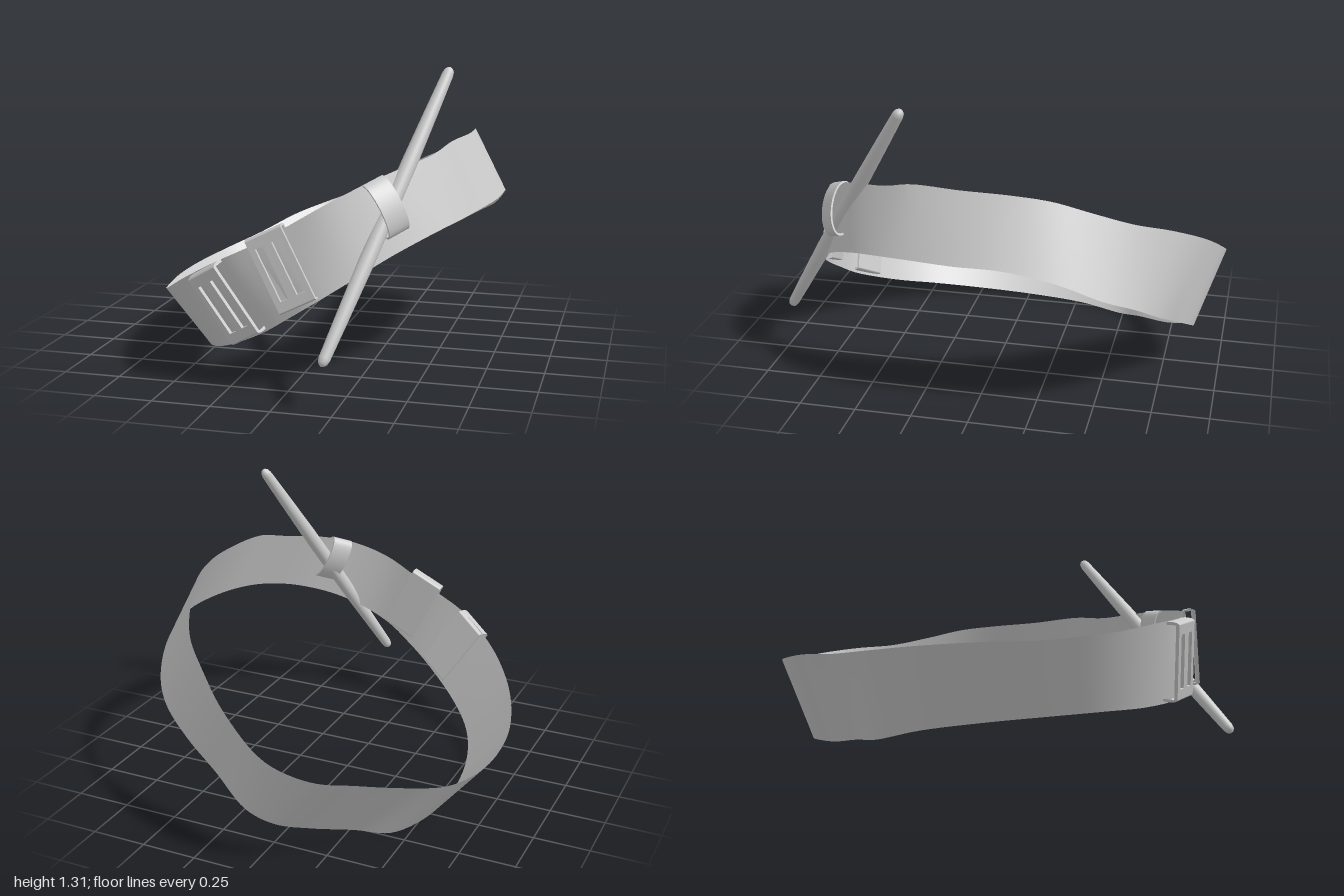
import * as THREE from 'three';

const mat = new THREE.MeshStandardMaterial({ color: 0xcccccc, side: THREE.DoubleSide });
const V = (x, y, z) => new THREE.Vector3(x, y, z);

function add(parent, geometry, name, x = 0, y = 0, z = 0) {
  const mesh = new THREE.Mesh(geometry, mat);
  mesh.name = name;
  mesh.position.set(x, y, z);
  parent.add(mesh);
  return mesh;
}

// Group whose local y follows `up` and local z faces `out`
function frame(name, pos, up, out) {
  const g = new THREE.Group();
  g.name = name;
  const y = up.clone().normalize();
  const x = y.clone().cross(out).normalize();
  const z = x.clone().cross(y);
  g.quaternion.setFromRotationMatrix(new THREE.Matrix4().makeBasis(x, y, z));
  g.position.copy(pos);
  return g;
}

// Upper and lower edges of the strap, from the front round the model's left side
const topEdge = [
  [0, .70, .81], [.15, .79, .79], [.30, .87, .70], [.42, .92, .57], [.53, .96, .40],
  [.58, .995, .27], [.62, 1.0, .05], [.62, .995, -.15], [.59, .97, -.32], [.53, .91, -.48],
  [.44, .84, -.64], [.30, .77, -.78], [.12, .67, -.92], [-.10, .54, -1.0], [-.28, .47, -.96],
  [-.42, .42, -.83], [-.56, .35, -.65], [-.68, .30, -.48], [-.75, .275, -.25], [-.76, .27, 0],
  [-.72, .28, .25], [-.62, .34, .50], [-.47, .44, .68], [-.28, .55, .79], [-.14, .62, .81],
];
const bottomEdge = [
  [.14, .41, .82], [.28, .50, .78], [.41, .58, .69], [.55, .65, .55], [.65, .69, .40],
  [.71, .71, .25], [.755, .72, .05], [.76, .72, -.15], [.73, .67, -.37], [.66, .58, -.55],
  [.56, .51, -.67], [.42, .42, -.745], [.24, .32, -.81], [.06, .22, -.88], [-.06, .17, -.86],
  [-.17, .11, -.74], [-.31, .06, -.60], [-.43, .01, -.48], [-.52, .005, -.28], [-.545, .015, 0],
  [-.51, .04, .26], [-.43, .08, .46], [-.30, .14, .62], [-.10, .25, .76], [.02, .33, .80],
];

// Thin strap lofted between the two edge curves
function strapGeometry() {
  const [top, bottom] = [topEdge, bottomEdge].map(
    (edge) => new THREE.CatmullRomCurve3(edge.map((p) => V(...p)), true));
  const around = 150, rows = 6, pos = [], index = [];
  for (let i = 0; i < around; i++) {
    const a = top.getPoint(i / around), b = bottom.getPoint(i / around);
    for (let j = 0; j <= rows; j++) pos.push(...a.clone().lerp(b, j / rows).toArray());
  }
  for (let i = 0; i < around; i++) {
    for (let j = 0; j < rows; j++) {
      const a = i * (rows + 1) + j, b = ((i + 1) % around) * (rows + 1) + j;
      index.push(a, a + 1, b, b, a + 1, b + 1);
    }
  }
  const g = new THREE.BufferGeometry();
  g.setAttribute('position', new THREE.Float32BufferAttribute(pos, 3));
  g.setIndex(index);
  g.computeVertexNormals();
  return g;
}

function rect(path, cx, w, h) {
  path.moveTo(cx - w / 2, -h / 2);
  path.lineTo(cx + w / 2, -h / 2);
  path.lineTo(cx + w / 2, h / 2);
  path.lineTo(cx - w / 2, h / 2);
  path.closePath();
  return path;
}

// Slotted sleeve wrapped round the strap
function buckle(name, pos, up, out, w, h, d) {
  const g = frame(name, pos, up, out);
  const face = rect(new THREE.Shape(), 0, w, h);
  for (const s of [-1, 1]) face.holes.push(rect(new THREE.Path(), s * w * .23, w * .22, h * .74));
  const t = .015;
  add(g, new THREE.ExtrudeGeometry(face, { depth: t, bevelEnabled: false }), name + 'Face', 0, 0, d / 2 - t);
  add(g, new THREE.BoxGeometry(w, h, .01), name + 'Back', 0, 0, -d / 2 + .005);
  for (const s of [-1, 1]) {
    // rounded lip at each end
    const lip = new THREE.CylinderGeometry(d / 2, d / 2, w, 20, 1, false, 0, Math.PI);
    lip.rotateZ(Math.PI / 2).scale(1, .35, 1);
    if (s < 0) lip.rotateX(Math.PI);
    add(g, lip, name + 'Lip', 0, s * h / 2, 0);
  }
  return g;
}

export function createModel() {
  const model = new THREE.Group();
  model.name = 'belt';
  add(model, strapGeometry(), 'strap');

  model.add(buckle('rightBuckle', V(-.25, .37, .765), V(-.19, .29, .03), V(-.35, -.15, .9), .17, .315, .075));
  model.add(buckle('leftBuckle', V(0, .54, .825), V(-.16, .32, 0), V(.02, 0, 1), .165, .315, .055));

  // Keeper loop holding the rod
  const keeper = frame('keeper', V(.385, .78, .665), V(-.46, .88, 0), V(.6, .31, .76));
  const ring = new THREE.Shape().absellipse(0, 0, .055, .12, 0, Math.PI * 2);
  ring.holes.push(new THREE.Path().absellipse(0, 0, .047, .112, 0, Math.PI * 2));
  const loop = new THREE.ExtrudeGeometry(ring, { depth: .1, bevelEnabled: false, curveSegments: 32 });
  loop.translate(0, 0, -.05).rotateY(Math.PI / 2);
  add(keeper, loop, 'keeperLoop');
  model.add(keeper);

  // Tapered rod with rounded tips
  const low = V(.205, .2, .985), high = V(.58, 1.312, .305);
  const len = low.distanceTo(high);
  const half = [[0, 0], [.012, .006], [.02, .016], [.024, .035], [.028, .2], [.033, .45]];
  const profile = [
    ...half.map(([r, y]) => new THREE.Vector2(r, y)),
    ...half.slice().reverse().map(([r, y]) => new THREE.Vector2(r, len - y)),
  ];
  const rod = add(model, new THREE.LatheGeometry(profile, 24), 'rod');
  rod.position.copy(low);
  rod.quaternion.setFromUnitVectors(V(0, 1, 0), high.clone().sub(low).normalize());
  return model;
}
